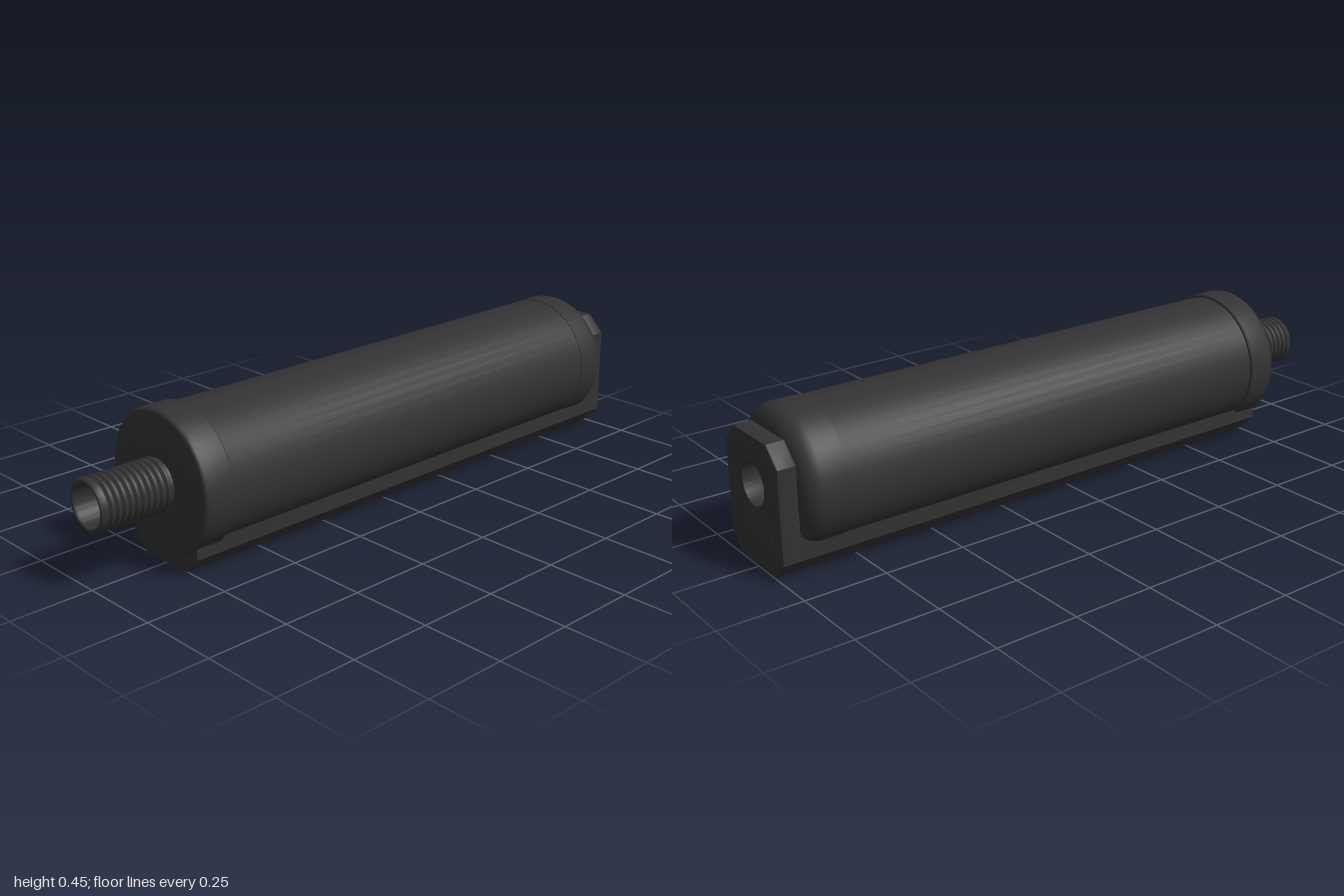
import * as THREE from 'three';
import { toCreasedNormals } from 'three/addons/utils/BufferGeometryUtils.js';

const AXIS_Y = 0.243;   // height of the cylinder axis
const BORE = 0.061;     // radius of the through hole
const HALF = 0.145;     // half width of rail and end plate
const CH = 0.055;       // corner chamfer

export function createModel() {
  const group = new THREE.Group();
  group.name = 'cylinderAssembly';
  const material = new THREE.MeshStandardMaterial({ color: 0x333333 });

  const add = (name, geometry, crease = 0.6) => {
    const mesh = new THREE.Mesh(toCreasedNormals(geometry, crease), material);
    mesh.name = name;
    group.add(mesh);
    return mesh;
  };

  // Turned part along z from [radius, z] pairs, listed back to front on the outside
  const turned = (name, points, segments = 48) => {
    const g = new THREE.LatheGeometry(points.map(([r, z]) => new THREE.Vector2(r, z)), segments);
    g.rotateX(Math.PI / 2).translate(0, AXIS_Y, 0);
    return add(name, g);
  };

  // Bevelled plate or bar between two z positions
  const extruded = (name, shape, z0, z1, bevel) => {
    const g = new THREE.ExtrudeGeometry(shape, {
      depth: z1 - z0 - 2 * bevel, bevelThickness: bevel, bevelSize: bevel,
      bevelOffset: -bevel, bevelSegments: 2, curveSegments: 32,
    });
    return add(name, g.translate(0, 0, z0 + bevel), 0.5);
  };

  // Main tube
  turned('mainTube', [[BORE, -0.88], [0.203, -0.88], [0.203, 0.68], [BORE, 0.68]]);

  // Front collar with a softened rim
  turned('frontCollar', [
    [0.2, 0.67], [0.209, 0.67], [0.212, 0.674], [0.212, 0.752],
    [0.21, 0.76], [0.205, 0.766], [0.198, 0.768], [0.07, 0.768],
  ]);

  // Rear cap with a rounded shoulder
  const shoulder = [];
  for (let i = 0; i <= 8; i++) {
    const a = (i / 8) * Math.PI / 2;
    shoulder.push([0.145 + 0.06 * Math.sin(a), -0.885 - 0.06 * Math.cos(a)]);
  }
  turned('rearCap', [[BORE, -0.945], ...shoulder, [0.205, -0.82], [0.2, -0.82]]);

  // Threaded stem, its mouth, and the bore running back through the body
  const thread = [[0.073, 0.76]];
  const turns = 11, start = 0.775, pitch = (0.995 - start) / turns;
  for (let i = 0; i < turns; i++) {
    const z = start + i * pitch;
    thread.push([0.071, z], [0.078, z + pitch * 0.3], [0.078, z + pitch * 0.7]);
  }
  turned('threadedStem', [...thread, [0.072, 1], [0.065, 1], [BORE, 0.994], [BORE, -0.945]]);

  // Rail under the tube
  const rail = new THREE.Shape();
  rail.moveTo(-HALF + CH, 0);
  rail.lineTo(HALF - CH, 0);
  rail.lineTo(HALF, CH);
  rail.lineTo(HALF, 0.102);
  rail.lineTo(-HALF, 0.102);
  rail.lineTo(-HALF, CH);
  rail.closePath();
  extruded('mountingRail', rail, -0.99, 0.757, 0.006);

  // Rear end plate with chamfered corners and the bore
  const top = 0.385;
  const plate = new THREE.Shape();
  plate.moveTo(-HALF + CH, 0);
  plate.lineTo(HALF - CH, 0);
  plate.lineTo(HALF, CH);
  plate.lineTo(HALF, top - CH);
  plate.lineTo(HALF - CH, top);
  plate.lineTo(-HALF + CH, top);
  plate.lineTo(-HALF, top - CH);
  plate.lineTo(-HALF, CH);
  plate.closePath();
  plate.holes.push(new THREE.Path().absarc(0, AXIS_Y, BORE, 0, Math.PI * 2, true));
  extruded('rearPlate', plate, -1, -0.942, 0.005);

  // Fillet joining the rail to the plate; drawn in (-z, y) and turned across x
  const f = 0.05;
  const fillet = new THREE.Shape();
  fillet.moveTo(0.945 - f, 0.1);
  fillet.lineTo(0.945, 0.1);
  fillet.lineTo(0.945, 0.1 + f);
  fillet.absarc(0.945 - f, 0.1 + f, f, 0, -Math.PI / 2, true);
  const filletGeo = new THREE.ExtrudeGeometry(fillet, { depth: 2 * HALF, bevelEnabled: false, curveSegments: 8 });
  add('railFillet', filletGeo.rotateY(Math.PI / 2).translate(-HALF, 0, 0));

  return group;
}
